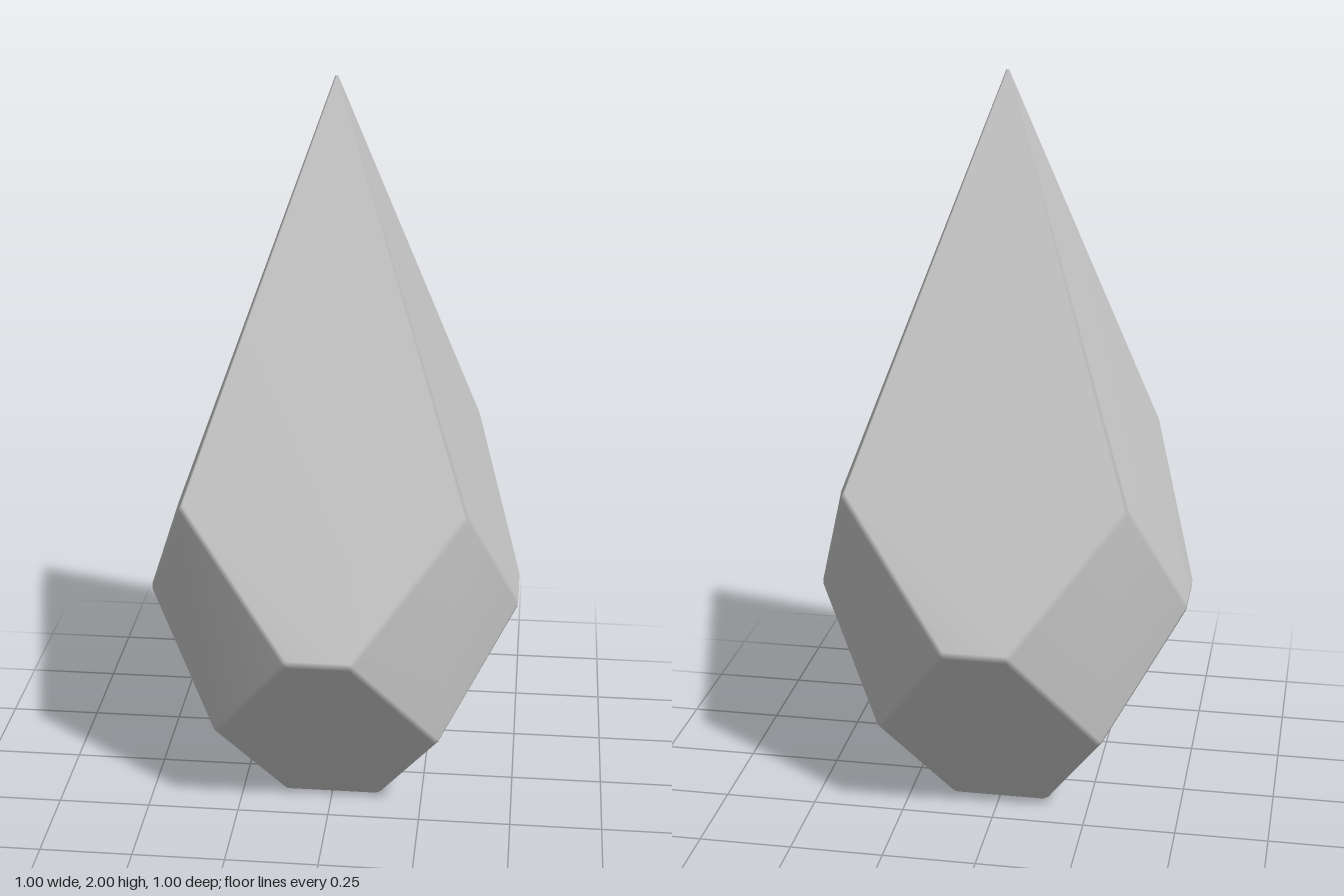
import * as THREE from 'three';
import { ConvexGeometry } from 'three/addons/geometries/ConvexGeometry.js';
import { mergeVertices } from 'three/addons/utils/BufferGeometryUtils.js';

const BEVEL = 0.012; // how far each facet corner is drawn in
const TIP = 2.01, WAIST = 0.59, RADIUS = 0.505, BASE = 0.13;
const SHOULDER_Y = 0.965, HIP_Y = 0.27;

const v = (x, y, z) => new THREE.Vector3(x, y, z);

// Draw a facet's corners slightly towards its centre, leaving room for a narrow bevel.
function inset(corners, center) {
  return corners.map((p) => p.clone().addScaledVector(center.clone().sub(p).normalize(), BEVEL));
}

function mean(points) {
  return points.reduce((s, p) => s.add(p), v(0, 0, 0)).divideScalar(points.length);
}

export function createModel() {
  // Corner positions on the sloping crown and pavilion planes
  const s = (RADIUS * (TIP - SHOULDER_Y)) / (TIP - WAIST);
  const h = BASE + ((RADIUS - BASE) * HIP_Y) / WAIST;
  const w = 0.083;

  // One quarter: long upper facet, lower facet and corner facet
  const upper = [v(0, TIP, 0), v(-s, SHOULDER_Y, s), v(-w, WAIST, RADIUS), v(w, WAIST, RADIUS), v(s, SHOULDER_Y, s)];
  const lower = [v(-w, WAIST, RADIUS), v(-h, HIP_Y, h), v(-BASE, 0, BASE), v(BASE, 0, BASE), v(h, HIP_Y, h), v(w, WAIST, RADIUS)];
  const corner = [v(s, SHOULDER_Y, s), v(w, WAIST, RADIUS), v(h, HIP_Y, h), v(RADIUS, WAIST, w)];
  const quarter = [
    ...inset(upper, mean(upper)),
    ...inset(lower, mean(lower)),
    ...inset(corner, mean([corner[0], corner[2]])),
    ...inset([v(BASE, 0, BASE)], v(0, 0, 0)),
  ];

  // Four quarters around the vertical axis
  const points = [];
  for (let i = 0; i < 4; i++) {
    for (const p of quarter) {
      let { x, z } = p;
      for (let k = 0; k < i; k++) [x, z] = [z, -x];
      points.push(v(x, p.y, z));
    }
  }

  // Shared vertices give flat facets with softly shaded bevels
  let geometry = new ConvexGeometry(points);
  geometry.deleteAttribute('normal');
  geometry = mergeVertices(geometry, 1e-4);
  geometry.computeVertexNormals();

  const crystal = new THREE.Mesh(geometry, new THREE.MeshStandardMaterial({ color: 0xcccccc }));
  crystal.name = 'crystal';
  const group = new THREE.Group();
  group.name = 'facetedCrystal';
  group.add(crystal);
  return group;
}
